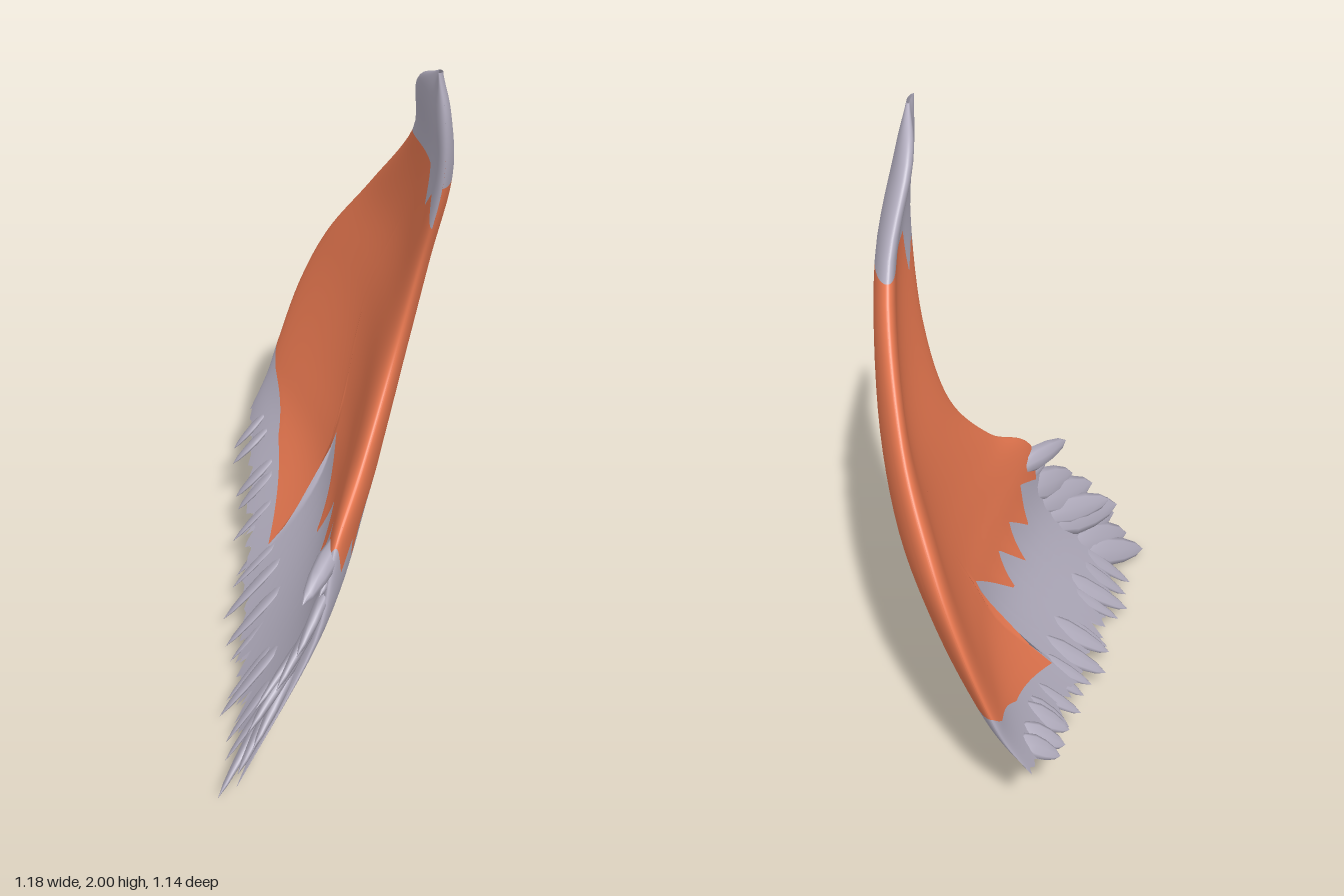
import * as THREE from 'three';

const orange = new THREE.MeshStandardMaterial({ color: 0xe87850, side: THREE.DoubleSide });
const grey = new THREE.MeshStandardMaterial({ color: 0xb3aebf, side: THREE.DoubleSide });

// Cross-sections from tip to hem: front edge, back edge, [outer bulge, inner bulge, sag]
const rows = [
  [[0.24, 2.0, 0.4], [0.27, 1.99, 0.37], [0.01, 0.0, 0]],
  [[0.255, 1.86, 0.42], [0.34, 1.89, 0.22], [0.035, -0.015, 0]],
  [[0.28, 1.65, 0.395], [0.47, 1.64, 0.07], [0.055, -0.005, 0]],
  [[0.29, 1.35, 0.31], [0.56, 1.32, -0.21], [0.09, 0.02, 0]],
  [[0.23, 1.07, 0.29], [0.57, 1.05, -0.42], [0.13, 0.035, 0]],
  [[0.06, 0.83, 0.37], [0.535, 0.82, -0.52], [0.17, 0.075, 0]],
  [[-0.12, 0.67, 0.47], [0.475, 0.6, -0.555], [0.195, 0.105, 0.01]],
  [[-0.23, 0.4, 0.515], [0.43, 0.48, -0.56], [0.14, 0.07, 0.035]],
  [[-0.53, 0.0, 0.525], [0.36, 0.35, -0.57], [-0.01, -0.02, 0.08]],
];
const LAST = rows.length - 1;
const [frontEdge, backEdge, bulge] = [0, 1, 2].map(
  (k) => new THREE.CatmullRomCurve3(rows.map((r) => new THREE.Vector3(...r[k])), false, 'catmullrom', 0.5));

// Point on the shell: u runs front to back, v runs tip to hem, side is +1 outside, -1 inside
function shellPoint(u, v, side) {
  const t = v / LAST;
  const f = frontEdge.getPoint(t), b = backEdge.getPoint(t), w = bulge.getPoint(t);
  const out = new THREE.Vector3(f.z - b.z, 0, b.x - f.x).normalize();
  const s = Math.max(Math.sin(Math.PI * u), 0);
  const round = Math.sqrt(Math.max(1 - Math.pow(2 * u - 1, 4), 0));
  const offset = (w.x + w.y) / 2 * s + side * (w.x - w.y) / 2 * round;
  const p = f.lerp(b, u).addScaledVector(out, offset);
  p.y -= w.z * s;
  return p;
}

// Piecewise-linear boundary v(u) through [u, v] pairs
const line = (pts) => (u) => {
  const i = Math.max(1, pts.findIndex((p) => p[0] >= u));
  const [a, b] = [pts[i - 1], pts[i]];
  return a[1] + (b[1] - a[1]) * (u - a[0]) / (b[0] - a[0]);
};

// Strip of one shell side between two boundaries, with columns packed towards the rounded edges
function patch(name, side, from, to, steps, material) {
  const nu = 200, pos = [], idx = [];
  for (let i = 0; i <= nu; i++) {
    const k = i / nu, u = k - 0.9 * Math.sin(2 * Math.PI * k) / (2 * Math.PI);
    const a = from(u), b = to(u);
    for (let j = 0; j <= steps; j++) {
      pos.push(...shellPoint(u, a + (b - a) * j / steps, side).toArray());
      if (i === nu || j === steps) continue;
      const p = i * (steps + 1) + j, q = p + steps + 1;
      if (side > 0) idx.push(p, p + 1, q, q, p + 1, q + 1);
      else idx.push(p, q, p + 1, q, q + 1, p + 1);
    }
  }
  const g = new THREE.BufferGeometry();
  g.setAttribute('position', new THREE.Float32BufferAttribute(pos, 3));
  g.setIndex(idx);
  g.computeVertexNormals();
  const m = new THREE.Mesh(g, material);
  m.name = name;
  return m;
}

// Blade-like lock of fur from root to tip, flattened across the shell
const lockProfile = [[0, 0], [0.75, 0.15], [1, 0.4], [0.85, 0.65], [0.5, 0.87], [0, 1]];
const lockGeometry = new THREE.LatheGeometry(lockProfile.map((p) => new THREE.Vector2(...p)), 8);
const outward = new THREE.Vector3(0.75, -0.25, 0.6);
function lock(name, root, tip, radius, flat) {
  const dir = tip.clone().sub(root), length = dir.length();
  dir.normalize();
  const across = new THREE.Vector3().crossVectors(dir, outward).normalize();
  const depth = new THREE.Vector3().crossVectors(across, dir);
  const m = new THREE.Mesh(lockGeometry, grey);
  m.name = name;
  m.quaternion.setFromRotationMatrix(new THREE.Matrix4().makeBasis(across, dir, depth));
  m.position.copy(root);
  m.scale.set(radius, length, radius * flat);
  return m;
}

export function createModel() {
  const group = new THREE.Group();
  group.name = 'furTail';
  let seed = 7;
  const rand = () => (seed = (seed * 16807) % 2147483647) / 2147483647;

  // Colour boundaries on each side
  const start = () => 0;
  const tipOuter = () => 2;
  const tipInner = line([[0, 2.5], [0.1, 2.15], [0.2, 2.4], [0.35, 1.95], [1, 2]]);
  const hemOuter = line([[0, 6], [0.04, 6.4], [0.09, 6.15], [0.13, 6.5], [0.2, 5.6], [0.23, 7.05],
    [0.34, 7], [0.42, 7.25], [0.55, 7], [0.77, 6.95], [0.93, 7], [0.95, 6.1], [1, 6]]);
  const hemInner = line([[0, 6], [0.06, 6.5], [0.14, 6.2], [0.18, 6.8], [0.25, 6.4], [0.28, 7],
    [0.35, 6.45], [0.39, 7], [0.535, 6], [0.55, 7.6], [0.8, 7.2], [0.95, 6.5], [1, 6]]);

  // Ragged hem: uneven teeth leaning to the front
  const teeth = [[0, 7.95]];
  const count = 24;
  for (let i = 0; i < count; i++) {
    const u = i / count;
    teeth.push([u + 0.25 / count, 7.85 + 0.15 * rand()], [u + (0.5 + 0.4 * rand()) / count, 7.65 + 0.25 * rand()]);
  }
  teeth.push([1, 8]);
  const raggedHem = line(teeth);

  for (const [label, side, tip, hem] of [['outer', 1, tipOuter, hemOuter], ['inner', -1, tipInner, hemInner]]) {
    group.add(
      patch(label + 'Tip', side, start, tip, 12, grey),
      patch(label + 'Body', side, tip, hem, 28, orange),
      patch(label + 'Fringe', side, hem, raggedHem, 12, grey));
  }

  // Locks along the lower front edge, rooted inside the shell: [root v, tip, radius, flatness]
  const frontLocks = [
    [6.1, [-0.285, 0.59, 0.53], 0.04, 0.8],
    [6.35, [-0.2, 0.555, 0.5], 0.03, 0.5],
    [6.55, [-0.32, 0.43, 0.55], 0.055, 0.35],
    [6.7, [-0.27, 0.465, 0.53], 0.04, 0.35],
    [6.8, [-0.4, 0.355, 0.56], 0.06, 0.3],
    [7.0, [-0.45, 0.29, 0.53], 0.05, 0.3],
    [7.1, [-0.49, 0.24, 0.55], 0.065, 0.3],
    [7.25, [-0.49, 0.19, 0.57], 0.06, 0.3],
    [7.4, [-0.53, 0.1, 0.55], 0.06, 0.3],
    [7.55, [-0.585, 0.025, 0.53], 0.05, 0.3],
  ];
  for (const [v, tip, r, flat] of frontLocks)
    group.add(lock('frontLock', shellPoint(0.1, v, 0), new THREE.Vector3(...tip), r, flat));

  // A few loose locks along the hem, swept forward
  for (let i = 0; i < 14; i++) {
    const u = 0.06 + 0.92 * (i + 0.7 * rand()) / 14;
    const root = shellPoint(u, 7.4, 0);
    const tip = shellPoint(u, LAST, 0);
    tip.x -= 0.01 + 0.05 * rand();
    tip.y = Math.max(tip.y - 0.02 * rand(), 0.005);
    group.add(lock('hemLock', root, tip, 0.025 + 0.015 * rand(), 0.3));
  }
  return group;
}
